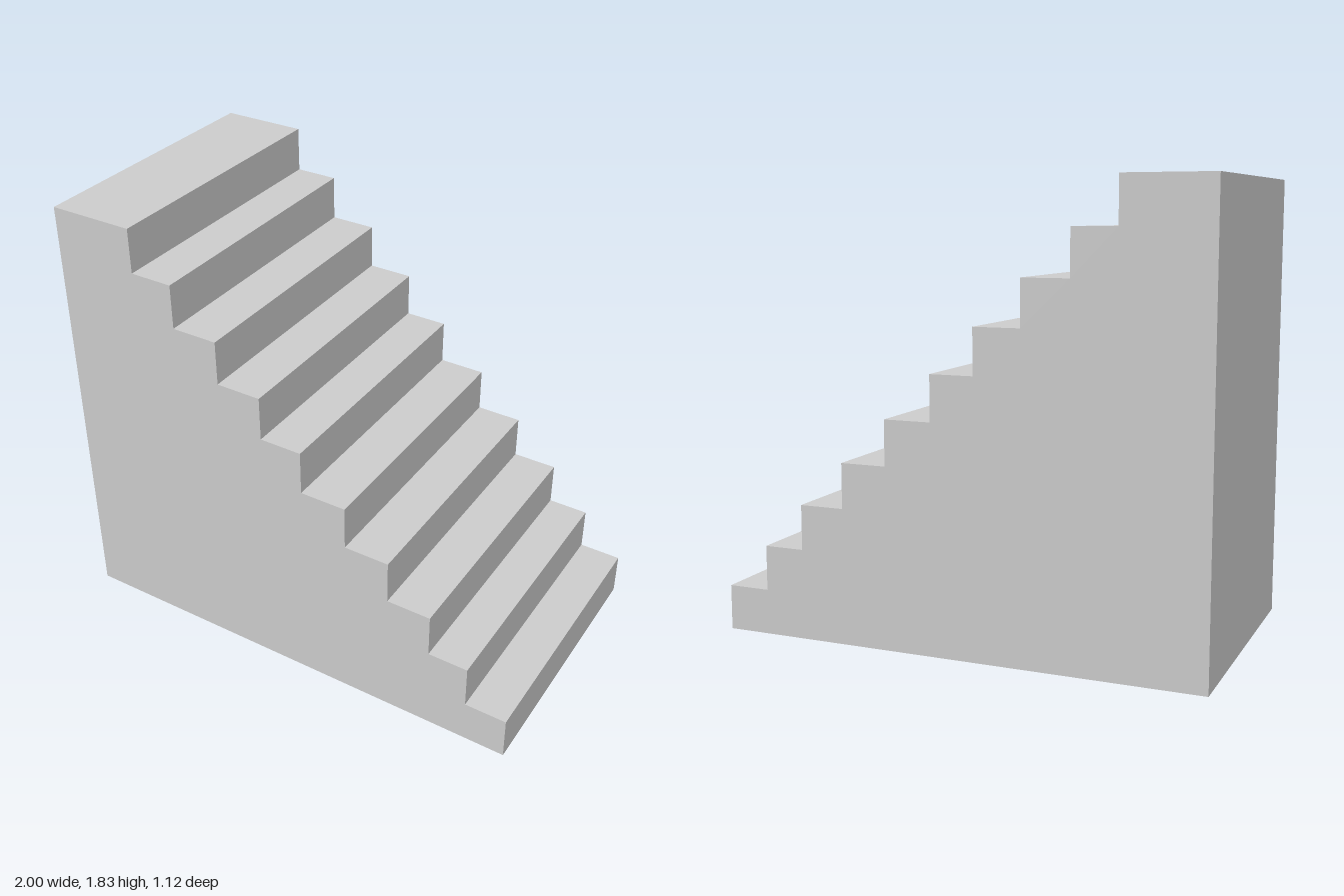
import * as THREE from 'three';

const RISE = 0.183;
const DEPTH = 1.12;
// x of each riser, bottom step to top landing
const RISERS = [1, 0.825, 0.657, 0.471, 0.281, 0.087, -0.09, -0.278, -0.469, -0.646];
const BACK = -1;

export function createModel() {
  const group = new THREE.Group();
  group.name = 'staircase';

  // Stepped side profile: up each riser, then along its tread
  const profile = new THREE.Shape();
  profile.moveTo(BACK, 0);
  RISERS.forEach((x, i) => {
    profile.lineTo(x, i * RISE);
    profile.lineTo(x, (i + 1) * RISE);
  });
  profile.lineTo(BACK, RISERS.length * RISE);
  profile.closePath();

  // Solid flight of stairs, centred in depth
  const geometry = new THREE.ExtrudeGeometry(profile, { depth: DEPTH, bevelEnabled: false });
  geometry.translate(0, 0, -DEPTH / 2);
  const material = new THREE.MeshStandardMaterial({ color: 0xcccccc, flatShading: true });
  const stairs = new THREE.Mesh(geometry, material);
  stairs.name = 'stairs';
  group.add(stairs);

  return group;
}
